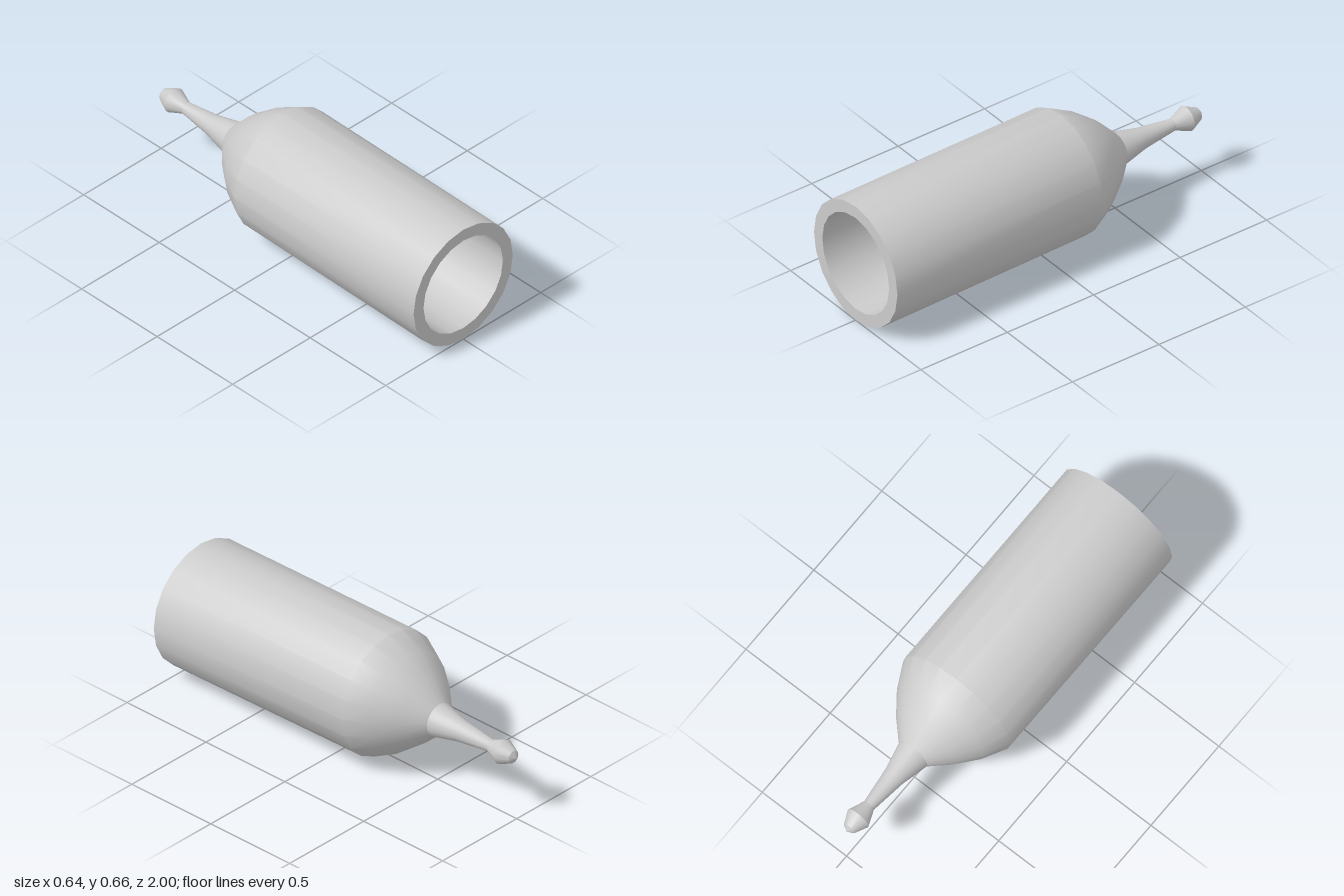
import * as THREE from 'three';
import { toCreasedNormals } from 'three/addons/utils/BufferGeometryUtils.js';

// Height of the centre line at a given z: the body droops slightly towards its open end
function axisHeight(z) {
  if (z > -0.19) return THREE.MathUtils.mapLinear(z, -0.19, 1, 0.338, 0.321);
  if (z > -0.43) return 0.338;
  if (z > -0.51) return THREE.MathUtils.mapLinear(z, -0.43, -0.51, 0.338, 0.33);
  return 0.33;
}

// Turn a [radius, z] profile around the z axis and follow the centre line
function turned(name, profile) {
  const points = profile.map(([r, z]) => new THREE.Vector2(r, z));
  const geometry = new THREE.LatheGeometry(points, 20);
  geometry.rotateX(Math.PI / 2);
  const p = geometry.attributes.position;
  for (let i = 0; i < p.count; i++) p.setY(i, p.getY(i) + axisHeight(p.getZ(i)));
  const mesh = new THREE.Mesh(
    toCreasedNormals(geometry, 0.5),
    new THREE.MeshStandardMaterial({ color: 0xcccccc })
  );
  mesh.name = name;
  return mesh;
}

export function createModel() {
  const group = new THREE.Group();
  group.name = 'hollowNozzle';

  // Outer skin: pointed bulb, slim neck, shoulder and straight barrel
  group.add(turned('outerShell', [
    [0, -1], [0.032, -0.98], [0.062, -0.915], [0.03, -0.835],
    [0.053, -0.65], [0.085, -0.51], [0.174, -0.42], [0.256, -0.312],
    [0.318, -0.19], [0.32, 1],
  ]));

  // Flat ring at the open end
  group.add(turned('rim', [[0.32, 1], [0.256, 1]]));

  // Inner skin: barrel bore, domed shoulder and the channel into the neck
  group.add(turned('bore', [
    [0.256, 1], [0.255, -0.18], [0.205, -0.295], [0.14, -0.4],
    [0.069, -0.49], [0.044, -0.64], [0.025, -0.83], [0.045, -0.91],
    [0.022, -0.955], [0, -0.97],
  ]));

  return group;
}
